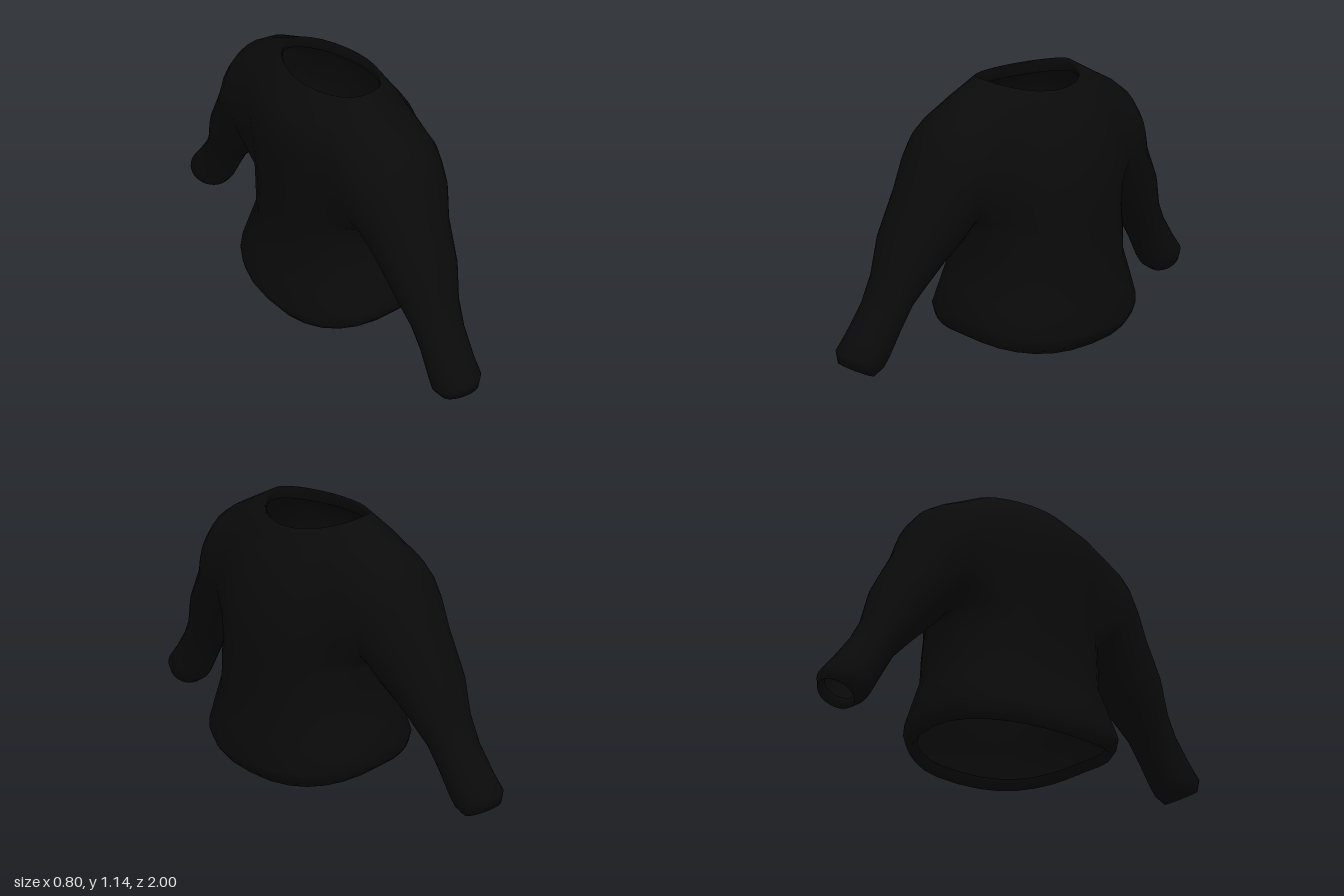
import * as THREE from 'three';

const SIDES = 28;
const ARMHOLE = { bottom: 7, top: 13, start: 3, end: 11 }; // torso rows and columns left open
const fabric = new THREE.MeshStandardMaterial({ color: 0x0a0a0a, side: THREE.DoubleSide });

const ring = (point) => Array.from({ length: SIDES }, (_, i) => point((i / SIDES) * Math.PI * 2));
const power = (v, e) => Math.sign(v) * Math.abs(v) ** e;
const mirrorColumn = (column) => (SIDES - column) % SIDES;

// Torso ring: back and chest reach in x, half width in z, each with its own height
function torsoRing([backX, backY, chestX, chestY, sideZ, sideY, roundness, midX]) {
  return ring((t) => {
    const c = power(Math.cos(t), 2 / roundness), s = power(Math.sin(t), 2 / roundness);
    const chest = c > 0;
    const x = midX + Math.abs(c) * ((chest ? chestX : backX) - midX);
    const y = sideY + Math.abs(Math.cos(t)) ** 1.4 * ((chest ? chestY : backY) - sideY);
    return new THREE.Vector3(x, y, s * sideZ);
  });
}

// Sleeve ring: upper and lower edge points in z and y, with the x range
function sleeveRing([topZ, topY, lowZ, lowY, backX, chestX], side) {
  return ring((t) => {
    const k = (1 + Math.sin(t)) / 2;
    return new THREE.Vector3(
      (backX + chestX) / 2 + (Math.cos(t) * (chestX - backX)) / 2,
      lowY + (topY - lowY) * k,
      side * (lowZ + (topZ - lowZ) * k)
    );
  });
}

// Torso vertices around an armhole, from mid chest over the shoulder and back under the arm
function armholeLoop(side) {
  const { bottom, top, start, end } = ARMHOLE, middle = (bottom + top) / 2;
  const loop = [];
  const add = (row, column) => loop.push(row * SIDES + (side > 0 ? column : mirrorColumn(column)));
  for (let r = middle; r < top; r++) add(r, start);
  for (let c = start; c < end; c++) add(top, c);
  for (let r = top; r > bottom; r--) add(r, end);
  for (let c = end; c > start; c--) add(bottom, c);
  for (let r = bottom; r < middle; r++) add(r, start);
  return loop;
}

// Faces between neighbouring rings of vertex numbers
function bridge(rings, flip, isOpen = () => false) {
  const index = [];
  for (let r = 0; r < rings.length - 1; r++) {
    for (let i = 0; i < SIDES; i++) {
      if (isOpen(r, i)) continue;
      const j = (i + 1) % SIDES;
      const a = rings[r][i], b = rings[r][j], c = rings[r + 1][i], d = rings[r + 1][j];
      if (flip) index.push(a, c, b, b, c, d);
      else index.push(a, b, c, b, d, c);
    }
  }
  return index;
}

export function createModel() {
  const points = [];
  const store = (ringPoints) => ringPoints.map((p) => points.push(p) - 1);

  // Torso from the tucked hem up to the tucked neckline
  const torsoRows = [
    [-0.35, 0.06, 0.34, 0.06, 0.39, 0.1, 2.4, 0],
    [-0.37, 0.015, 0.36, 0.01, 0.415, 0.06, 2.4, 0],
    [-0.39, 0.045, 0.385, 0.045, 0.435, 0.09, 2.4, 0],
    [-0.4, 0.09, 0.4, 0.085, 0.447, 0.15, 2.4, 0],
    [-0.36, 0.21, 0.378, 0.2, 0.415, 0.25, 2.4, 0],
    [-0.32, 0.33, 0.355, 0.31, 0.38, 0.36, 2.4, 0],
    [-0.318, 0.48, 0.346, 0.46, 0.38, 0.45, 2.4, 0],
    [-0.322, 0.6, 0.342, 0.57, 0.382, 0.525, 2.3, -0.01],
    [-0.326, 0.69, 0.338, 0.66, 0.4, 0.64, 2.3, -0.02],
    [-0.33, 0.79, 0.325, 0.75, 0.43, 0.75, 2.2, -0.04],
    [-0.335, 0.88, 0.295, 0.86, 0.45, 0.85, 2.1, -0.05],
    [-0.32, 0.97, 0.25, 0.95, 0.46, 0.95, 2, -0.05],
    [-0.295, 1.01, 0.22, 0.99, 0.44, 1.01, 2, -0.05],
    [-0.275, 1.04, 0.19, 1.03, 0.39, 1.075, 2, -0.05],
    [-0.2, 1.13, 0.155, 1.09, 0.26, 1.145, 1.9, -0.06],
    [-0.19, 1.11, 0.14, 1.07, 0.255, 1.12, 1.9, -0.06],
    [-0.21, 1.07, 0.155, 1.03, 0.275, 1.085, 1.9, -0.06],
  ];
  const { bottom, top, start, end } = ARMHOLE;
  const isArmhole = (row, column) =>
    row >= bottom && row < top &&
    ((column >= start && column < end) || (column >= SIDES - end && column < SIDES - start));
  const torsoRings = torsoRows.map((row) => store(torsoRing(row)));
  const parts = { torso: bridge(torsoRings, true, isArmhole) };

  // Sleeves from the armhole down to the tucked cuff
  const sleeveRows = [
    [0.46, 1.037, 0.395, 0.55, -0.275, 0.19],
    [0.53, 0.99, 0.425, 0.525, -0.262, 0.172],
    [0.585, 0.92, 0.48, 0.465, -0.245, 0.155],
    [0.64, 0.79, 0.55, 0.395, -0.228, 0.115],
    [0.75, 0.585, 0.62, 0.325, -0.21, 0.085],
    [0.8, 0.42, 0.69, 0.25, -0.185, 0.05],
    [0.86, 0.31, 0.74, 0.16, -0.175, 0.035],
    [0.94, 0.2, 0.795, 0.06, -0.18, 0.03],
    [1.0, 0.125, 0.82, 0.03, -0.185, 0.03],
    [1.0, 0.075, 0.865, 0.0, -0.155, 0.005],
    [0.965, 0.115, 0.85, 0.05, -0.155, 0.005],
  ];
  for (const side of [1, -1]) {
    const rings = sleeveRows.map((row) => store(sleeveRing(row, side)));
    parts[side > 0 ? 'frontSleeve' : 'backSleeve'] = bridge([armholeLoop(side), ...rings], side < 0);
  }

  // Shared normals keep the shoulder seams smooth
  const skin = new THREE.BufferGeometry().setFromPoints(points);
  skin.setIndex(Object.values(parts).flat());
  skin.computeVertexNormals();

  const group = new THREE.Group();
  group.name = 'sweater';
  for (const [name, index] of Object.entries(parts)) {
    const geometry = skin.clone().setIndex(index);
    const mesh = new THREE.Mesh(geometry, fabric);
    mesh.name = name;
    group.add(mesh);
  }
  return group;
}
